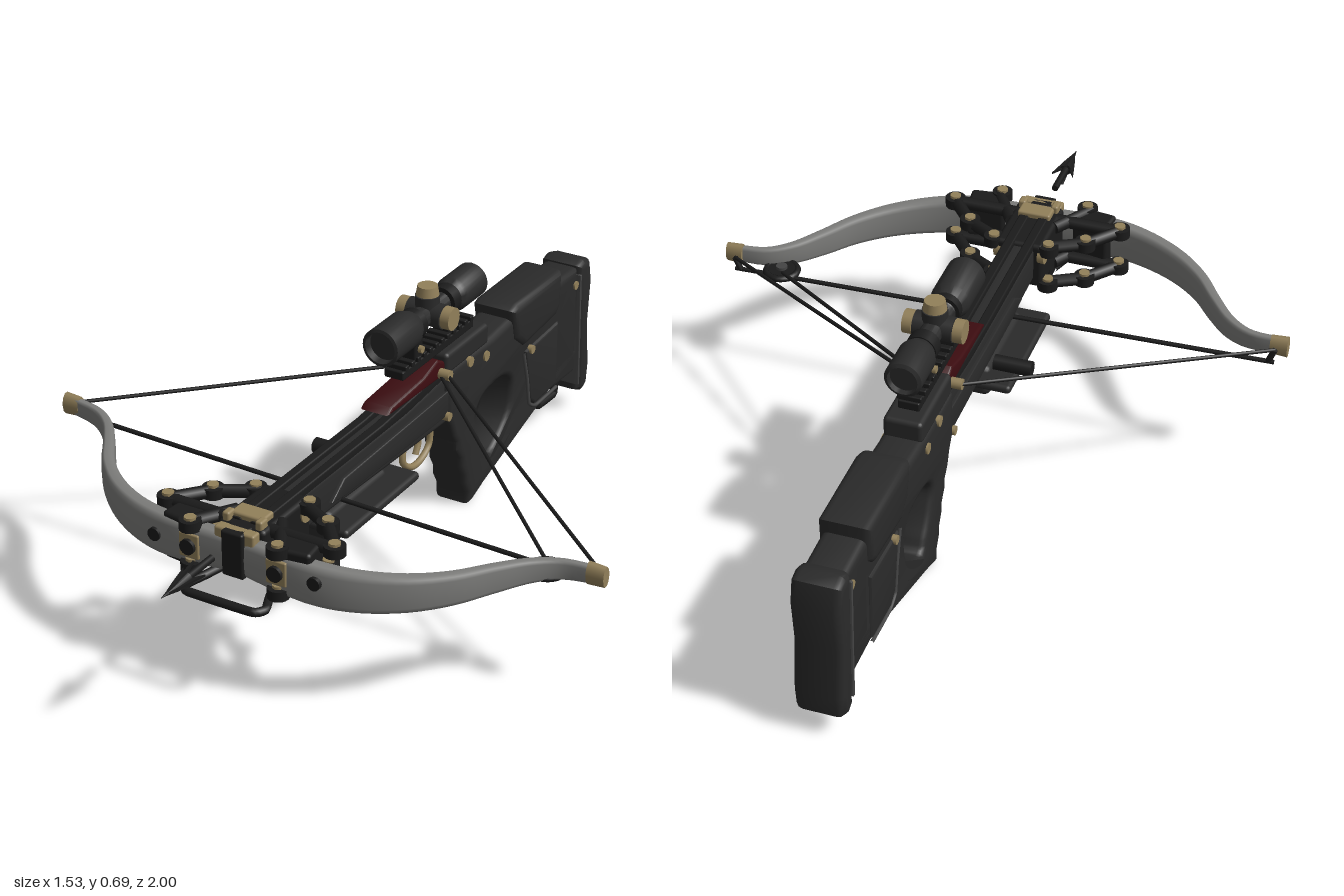
import * as THREE from 'three';
import { toCreasedNormals } from 'three/addons/utils/BufferGeometryUtils.js';
import { RoundedBoxGeometry } from 'three/addons/geometries/RoundedBoxGeometry.js';

const mat = (name, color) => Object.assign(new THREE.MeshStandardMaterial({ color }), { name });
const V = (x, y, z) => new THREE.Vector3(x, y, z);

export function createModel() {
  const root = new THREE.Group();
  root.name = 'crossbow';
  const black = mat('matte black', 0x2a2a2a);
  const dark = mat('dark black', 0x1b1b1b);
  const edge = mat('worn grey', 0x444444);
  const grey = mat('limb grey', 0x7c7c7a);
  const gold = mat('dull brass', 0x92805a);
  const red = mat('dark red', 0x3c0c10);

  const add = (name, geo, m, x = 0, y = 0, z = 0) => {
    const mesh = new THREE.Mesh(geo, m);
    mesh.name = name;
    mesh.position.set(x, y, z);
    root.add(mesh);
    return mesh;
  };
  const box = (name, m, w, h, d, x, y, z, r = 0.006) =>
    add(name, new RoundedBoxGeometry(w, h, d, 2, r), m, x, y, z);
  // cylinder along a chosen axis
  const cyl = (name, m, axis, r, len, x, y, z, r2 = r, n = 20) => {
    const g = new THREE.CylinderGeometry(r2, r, len, n);
    if (axis === 'x') g.rotateZ(-Math.PI / 2);
    if (axis === 'z') g.rotateX(Math.PI / 2);
    return add(name, g, m, x, y, z);
  };
  const rod = (name, m, a, b, r) => {
    const d = b.clone().sub(a);
    const mesh = cyl(name, m, 'y', r, d.length(), 0, 0, 0, r, 8);
    mesh.position.copy(a).addScaledVector(d, 0.5);
    mesh.quaternion.setFromUnitVectors(V(0, 1, 0), d.normalize());
    return mesh;
  };
  const tube = (name, m, pts, r, closed = false, tension = 0.2) =>
    add(name, new THREE.TubeGeometry(
      new THREE.CatmullRomCurve3(pts, closed, 'catmullrom', tension), 64, r, 8, closed), m);
  // side outline of [z, y] points, extruded across x
  const outline = (pts) => pts.map(([z, y]) => new THREE.Vector2(-z, y));
  const smooth = (pts) => new THREE.CatmullRomCurve3(
    pts.map(([z, y]) => V(-z, y, 0)), true, 'catmullrom', 0.5).getPoints(40).slice(0, -1)
    .map((p) => new THREE.Vector2(p.x, p.y));
  const side = (name, m, pts, width, bevel = 0.01, holes = [], x = 0) => {
    const shape = new THREE.Shape(outline(pts));
    holes.forEach((h) => shape.holes.push(new THREE.Path(h)));
    const g = new THREE.ExtrudeGeometry(shape, {
      depth: width - 2 * bevel, bevelEnabled: bevel > 0, bevelSize: bevel,
      bevelThickness: bevel, bevelOffset: -bevel, bevelSegments: 3 });
    g.translate(0, 0, -width / 2 + bevel).rotateY(Math.PI / 2);
    return add(name, toCreasedNormals(g, 0.7), m, x);
  };

  // stock with finger-grooved grip, thumb hole and rear slot
  side('stock', black, [
    [-0.2, 0.455], [-0.2, 0.32], [-0.22, 0.29], [-0.235, 0.25], [-0.255, 0.225], [-0.255, 0.2],
    [-0.28, 0.165], [-0.28, 0.14], [-0.3, 0.105], [-0.3, 0.08], [-0.32, 0.045], [-0.32, 0.01],
    [-0.34, 0.012], [-0.5, 0.07], [-0.54, 0.1], [-0.59, 0.135], [-0.7, 0.145], [-0.925, 0.14],
    [-0.925, 0.46], [-0.8, 0.465], [-0.55, 0.465], [-0.44, 0.455]], 0.108, 0.018, [
    smooth([[-0.355, 0.265], [-0.4, 0.305], [-0.5, 0.31], [-0.55, 0.27], [-0.53, 0.18],
      [-0.44, 0.115], [-0.405, 0.15], [-0.37, 0.21]]),
    outline([[-0.835, 0.38], [-0.835, 0.22], [-0.905, 0.22], [-0.905, 0.38]])]);
  side('cheekPiece', black, [[-0.53, 0.49], [-0.55, 0.4], [-0.6, 0.36], [-0.78, 0.375],
    [-0.805, 0.4], [-0.81, 0.5], [-0.56, 0.5]], 0.13, 0.02);
  side('stockPanel', black, [[-0.61, 0.34], [-0.64, 0.18], [-0.67, 0.155], [-0.8, 0.16],
    [-0.8, 0.35]], 0.122, 0.01);
  side('buttPad', black, [[-0.92, 0.465], [-0.93, 0.08], [-0.96, 0.065], [-0.99, 0.08],
    [-0.998, 0.14], [-0.985, 0.28], [-0.998, 0.4], [-0.985, 0.465], [-0.95, 0.475]], 0.125, 0.02);
  side('buttPadBand', edge, [[-0.918, 0.44], [-0.926, 0.1], [-0.934, 0.1], [-0.926, 0.44]], 0.127, 0.002);
  for (const s of [-1, 1]) {
    tube('stockPanelEdge', edge, [V(s * 0.058, 0.34, -0.6), V(s * 0.058, 0.25, -0.625),
      V(s * 0.058, 0.17, -0.64), V(s * 0.058, 0.148, -0.68), V(s * 0.058, 0.15, -0.8)], 0.005);
  }
  tube('slingLoop', dark, [V(0, 0.14, -0.79), V(0, 0.075, -0.8), V(0, 0.07, -0.9),
    V(0, 0.14, -0.9)], 0.012, true, 0.1);

  // barrel, bolt groove rails and receiver
  side('barrel', black, [[0.69, 0.425], [0.69, 0.33], [0.3, 0.32], [0.05, 0.31], [-0.25, 0.3],
    [-0.25, 0.445], [0, 0.425]], 0.082, 0.012);
  for (const s of [-1, 1]) {
    side('flightRail', dark, [[0.66, 0.44], [0.66, 0.41], [-0.22, 0.42], [-0.22, 0.46], [0.1, 0.44]],
      0.026, 0.004, [], s * 0.026);
    side('barrelFlank', black, [[0.3, 0.39], [0.36, 0.35], [0.3, 0.34], [-0.2, 0.33], [-0.24, 0.4]],
      0.014, 0.004, [], s * 0.043);
  }
  box('receiver', black, 0.1, 0.06, 0.22, 0, 0.475, -0.31, 0.012);
  side('latchCover', red, [[0.08, 0.455], [0.06, 0.47], [-0.1, 0.48], [-0.17, 0.5], [-0.21, 0.48],
    [-0.2, 0.445]], 0.08, 0.006);

  // foregrip with ribs and side plate
  box('foregripPlate', black, 0.23, 0.024, 0.35, -0.005, 0.29, 0.215, 0.011);
  box('foregrip', black, 0.095, 0.09, 0.28, -0.005, 0.27, 0.22, 0.02);
  for (let i = 0; i < 6; i++)
    box('foregripRib', dark, 0.102, 0.07, 0.018, -0.005, 0.26, 0.12 + i * 0.04, 0.008);
  cyl('sideKnob', dark, 'x', 0.02, 0.1, -0.11, 0.33, 0.1);

  // trigger guard and trigger
  tube('triggerGuard', gold, [V(0, 0.305, -0.07), V(0, 0.25, -0.06), V(0, 0.215, -0.1),
    V(0, 0.212, -0.15), V(0, 0.24, -0.195), V(0, 0.3, -0.2)], 0.009, false, 0.5);
  tube('trigger', gold, [V(0, 0.32, -0.13), V(0, 0.27, -0.14), V(0, 0.24, -0.125)], 0.009);

  // sight rail and telescopic sight
  box('sightRail', dark, 0.055, 0.024, 0.36, 0, 0.518, -0.195, 0.004);
  for (let i = 0; i < 12; i++)
    box('railTooth', dark, 0.062, 0.014, 0.016, 0, 0.536, -0.032 - i * 0.03, 0.003);
  const sightProfile = [[0, 0.03], [0.04, 0.03], [0.042, 0.052], [0.05, 0.05], [0.05, -0.07],
    [0.032, -0.115], [0.028, -0.12], [0.028, -0.27], [0.043, -0.3], [0.047, -0.31], [0.047, -0.41],
    [0.038, -0.415], [0.036, -0.4], [0, -0.4]].map(([r, z]) => new THREE.Vector2(r, -z));
  add('sightTube', toCreasedNormals(new THREE.LatheGeometry(sightProfile, 28)
    .rotateX(-Math.PI / 2), 0.5), black, 0, 0.62, 0);
  for (const z of [-0.1, -0.27]) {
    cyl('sightRing', dark, 'z', 0.04, 0.035, 0, 0.62, z, 0.04, 24);
    box('sightMount', dark, 0.05, 0.07, 0.04, 0, 0.565, z);
    cyl('mountScrew', gold, 'x', 0.01, 0.07, 0, 0.56, z, 0.01, 8);
  }
  cyl('turretHub', black, 'x', 0.032, 0.1, 0, 0.62, -0.182);
  cyl('turretHub', black, 'y', 0.032, 0.05, 0, 0.645, -0.182);
  cyl('topTurret', gold, 'y', 0.03, 0.025, 0, 0.684, -0.182, 0.026);
  for (const s of [-1, 1]) cyl('sideTurret', gold, 'x', 0.03, 0.025, s * 0.064, 0.62, -0.182);

  // bow limbs: rounded cross-sections swept along one curve, [x, z, thickness, height]
  const half = [[0.04, 0.69, 0.05, 0.1], [0.2, 0.69, 0.05, 0.11], [0.3, 0.665, 0.046, 0.105],
    [0.4, 0.61, 0.042, 0.095], [0.48, 0.535, 0.036, 0.085], [0.54, 0.45, 0.032, 0.075],
    [0.6, 0.375, 0.028, 0.062], [0.66, 0.335, 0.024, 0.052], [0.75, 0.322, 0.022, 0.045]];
  const stations = [...half].reverse().map(([x, ...r]) => [-x, ...r]).concat(half);
  const limbY = (x) => 0.367 - 0.03 * x - 0.035 * Math.sin(Math.PI * Math.min(1, Math.abs(x) / 0.75)) * 0.4;
  const path = new THREE.CatmullRomCurve3(stations.map(([x, z]) => V(x, 0, z)));
  const size = new THREE.CatmullRomCurve3(stations.map(([, , t, h]) => V(t, h, 0)));
  const N = 72, K = 14, pos = [], idx = [];
  for (let i = 0; i <= N; i++) {
    const p = path.getPoint(i / N), t = path.getTangent(i / N), s = size.getPoint(i / N);
    for (let k = 0; k < K; k++) {
      const a = (k / K) * Math.PI * 2, c = Math.cos(a), n = Math.sin(a);
      const u = Math.sign(c) * Math.sqrt(Math.abs(c)) * s.x / 2;
      const v = Math.sign(n) * Math.sqrt(Math.abs(n)) * s.y / 2;
      pos.push(p.x - t.z * u, limbY(p.x) + v, p.z + t.x * u);
      if (i < N) {
        const q = i * K + k, w = i * K + (k + 1) % K;
        idx.push(q, q + K, w, w, q + K, w + K);
      }
    }
  }
  const limbGeo = new THREE.BufferGeometry();
  limbGeo.setAttribute('position', new THREE.Float32BufferAttribute(pos, 3));
  limbGeo.setIndex(idx);
  limbGeo.computeVertexNormals();
  const limbMat = grey;
  limbMat.side = THREE.DoubleSide;
  add('bowLimbs', limbGeo, limbMat);

  // riser, limb pockets and bolts
  box('riserBlock', dark, 0.13, 0.13, 0.2, 0, 0.37, 0.58, 0.012);
  box('riserFront', gold, 0.11, 0.1, 0.03, 0, 0.385, 0.695);
  box('riserFrontPlate', dark, 0.06, 0.12, 0.05, 0, 0.375, 0.695);
  box('riserTop', gold, 0.09, 0.03, 0.05, 0, 0.435, 0.63);
  for (const s of [-1, 1]) {
    box('frontSight', gold, 0.02, 0.05, 0.03, s * 0.045, 0.43, 0.66);
    for (const y of [0.31, 0.42]) {
      const bar = (a, b) => rod('riserBrace', dark, V(s * a[0], y, a[1]), V(s * b[0], y, b[1]), 0.017);
      bar([0.05, 0.64], [0.24, 0.64]);
      bar([0.06, 0.5], [0.16, 0.555]);
      bar([0.16, 0.555], [0.23, 0.64]);
      bar([0.06, 0.6], [0.13, 0.71]);
      for (const [x, z] of [[0.16, 0.555], [0.23, 0.64], [0.12, 0.71], [0.075, 0.5]]) {
        cyl('bracePivot', dark, 'y', 0.027, 0.026, s * x, y, z);
        cyl('braceBolt', gold, 'y', 0.015, 0.04, s * x, y, z, 0.015, 8);
      }
    }
    box('limbPocket', dark, 0.1, 0.125, 0.07, s * 0.15, 0.365, 0.675, 0.01).rotation.y = s * 0.12;
    box('pocketPlate', gold, 0.055, 0.065, 0.012, s * 0.12, 0.365, 0.715, 0.004);
    cyl('pocketBolt', dark, 'z', 0.02, 0.03, s * 0.12, 0.365, 0.715);
    cyl('limbBolt', dark, 'z', 0.017, 0.03, s * 0.22, 0.365, 0.705);
    // limb tip caps
    const cap = cyl('limbTip', gold, 'x', 0.03, 0.045, s * 0.742, limbY(0.742 * s), 0.322, 0.027, 10);
    cap.scale.z = 0.6;
    // side pins along the stock and barrel
    for (const [z, y, r] of [[-0.2, 0.33, 0.012], [-0.31, 0.44, 0.014], [-0.395, 0.42, 0.014],
      [-0.905, 0.415, 0.012], [-0.64, 0.335, 0.012], [0.5, 0.4, 0.025]])
      cyl('sidePin', gold, 'x', r, 0.018, s * (z < -0.6 && z > -0.7 ? 0.058 : z > 0 ? 0.06 : 0.05), y, z);
    // cables from limb tips to the latch
    rod('drawCable', dark, V(s * 0.735, limbY(s * 0.735), 0.3), V(s * 0.05, 0.46, -0.19), 0.005);
    rod('tipLink', dark, V(s * 0.735, limbY(s * 0.735), 0.3), V(s * 0.72, 0.33 - s * 0.02, 0.3), 0.008);
    cyl('cableAnchor', gold, 'x', 0.014, 0.03, s * 0.055, 0.46, -0.18);
  }
  rod('bowString', dark, V(-0.735, 0.35, 0.3), V(0.735, 0.31, 0.3), 0.006);
  rod('pulleyCable', dark, V(0.6, 0.325, 0.3), V(0.05, 0.455, -0.17), 0.005);

  // pulley wheel
  add('pulleyRim', new THREE.TorusGeometry(0.042, 0.009, 8, 24).rotateX(Math.PI / 2), dark, 0.61, 0.318, 0.32);
  cyl('pulleyDisc', dark, 'y', 0.036, 0.014, 0.61, 0.318, 0.32);
  cyl('pulleyHub', edge, 'y', 0.015, 0.03, 0.61, 0.318, 0.32);

  // foot stirrup
  tube('stirrup', dark, [V(-0.06, 0.29, 0.6), V(-0.09, 0.285, 0.7), V(-0.11, 0.28, 0.75), V(-0.09, 0.28, 0.775),
    V(0.09, 0.28, 0.775), V(0.11, 0.28, 0.75), V(0.09, 0.285, 0.7), V(0.06, 0.29, 0.6)], 0.011);
  box('stirrupMount', dark, 0.13, 0.04, 0.08, 0, 0.3, 0.6);

  // bolt with barbed head
  cyl('boltShaft', dark, 'z', 0.009, 0.12, 0, 0.41, 0.86, 0.009, 10);
  cyl('boltPoint', dark, 'z', 0.016, 0.1, 0, 0.41, 0.95, 0.001, 10);
  const blade = new THREE.Shape([[0, 0.99], [0.014, 0.94], [0.03, 0.87], [0.01, 0.9], [-0.01, 0.9],
    [-0.03, 0.87], [-0.014, 0.94]].map((p) => new THREE.Vector2(...p)));
  for (const a of [0, Math.PI / 2]) {
    const g = new THREE.ExtrudeGeometry(blade, { depth: 0.006, bevelEnabled: false });
    g.translate(0, 0, -0.003).rotateX(Math.PI / 2).rotateZ(a);
    add('boltBlade', g, dark, 0, 0.41, 0);
  }
  return root;
}
